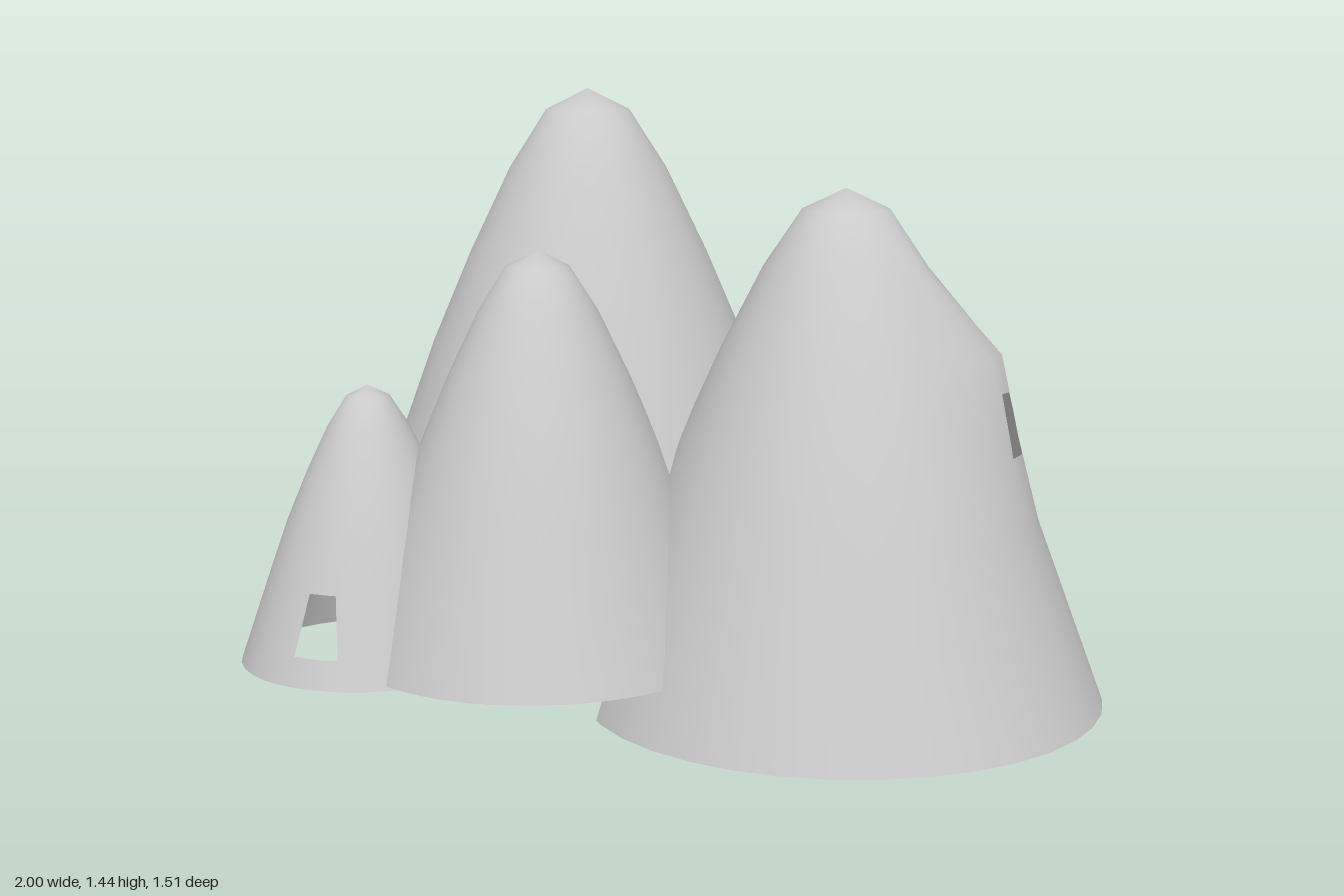
import * as THREE from 'three';
import { mergeVertices } from 'three/addons/utils/BufferGeometryUtils.js';

// Shared dome profile: [fraction of radius, fraction of height below the tip]
const PROFILE = [[1, 1], [0.87, 0.82], [0.74, 0.64], [0.62, 0.48], [0.47, 0.31], [0.31, 0.15], [0.165, 0.04], [0, 0]];

const DOMES = {
  tallDome: { x: -0.33, z: -0.13, r: 0.63, base: 0.135, top: 1.44 },
  wideDome: { x: 0.37, z: 0.06, r: 0.625, base: 0, top: 1.22, bulge: true },
  frontDome: { x: -0.31, z: 0.3, r: 0.455, base: 0.125, top: 1.08 },
  smallDome: { x: -0.69, z: 0.425, r: 0.31, base: 0.115, top: 0.765 },
};

// Tapered openings: dome, facing direction (x, z), half widths, bottom and top heights, sideways shift
const OPENINGS = [
  // windows
  ['wideDome', 1, 0, 0.065, 0.036, 0.61, 0.755, 0],
  ['smallDome', 0, 1, 0.055, 0.033, 0.18, 0.318, -0.015],
  // inner passages between the domes
  ['wideDome', -1, 0, 0.37, 0.22, -1, 0.5, 0],
  ['tallDome', 0.7, 0.19, 0.3, 0.2, -1, 0.5, 0],
  ['tallDome', 0.02, 0.43, 0.25, 0.18, -1, 0.5, 0],
  ['tallDome', -0.36, 0.555, 0.1, 0.06, -1, 0.33, 0],
  ['frontDome', -0.02, -0.43, 0.25, 0.18, -1, 0.5, 0],
  ['frontDome', 0.68, -0.24, 0.2, 0.12, -1, 0.42, 0],
  ['frontDome', -0.38, 0.125, 0.13, 0.08, -1, 0.3, 0],
  ['smallDome', 0.36, -0.555, 0.29, 0.15, -1, 0.33, 0],
  ['smallDome', 0.38, -0.125, 0.14, 0.08, -1, 0.3, 0],
];

// An opening as a list of functions, all positive inside it
function openingSides([name, dx, dz, w0, w1, y0, y1, shift]) {
  const len = Math.hypot(dx, dz), ax = dx / len, az = dz / len;
  const low = Math.max(y0, DOMES[name].base);
  const width = (y) => w0 + (w1 - w0) * (y - low) / (y1 - low);
  const side = (p) => p[0] * az - p[2] * ax - shift;
  return [
    (p) => p[0] * ax + p[2] * az,
    (p) => p[1] - y0,
    (p) => y1 - p[1],
    (p) => width(p[1]) - side(p),
    (p) => width(p[1]) + side(p),
  ];
}

// Part of a convex polygon where sign * f >= 0
function clip(poly, f, sign) {
  const out = [];
  poly.forEach((a, i) => {
    const b = poly[(i + 1) % poly.length];
    const fa = f(a) * sign, fb = f(b) * sign;
    if (fa >= 0) out.push(a);
    if (fa * fb < 0) out.push(a.map((v, k) => v + (b[k] - v) * fa / (fa - fb)));
  });
  return out.length > 2 ? out : null;
}

// Remove an opening from a list of polygons
function cut(polys, sides) {
  const kept = [];
  for (const poly of polys) {
    const outside = [];
    let rest = poly;
    for (const f of sides) {
      const piece = clip(rest, f, -1);
      if (piece) outside.push(piece);
      rest = clip(rest, f, 1);
      if (!rest) break;
    }
    if (rest) kept.push(...outside);
    else kept.push(poly);
  }
  return kept;
}

function domeGeometry(name) {
  const { r, base, top, bulge } = DOMES[name];
  const points = PROFILE.map(([pr, t]) => new THREE.Vector2(pr * r, top - t * (top - base)));
  let geo = new THREE.LatheGeometry(points, 36);

  // hood swelling out above the side window
  if (bulge) {
    const pos = geo.attributes.position;
    for (let i = 0; i < pos.count; i++) {
      const x = pos.getX(i), z = pos.getZ(i), rad = Math.hypot(x, z);
      const row = i % PROFILE.length;
      const push = row === 4 ? 0.078 : row === 3 ? 0.03 : 0;
      if (!push) continue;
      const angle = Math.atan2(z, x);
      const k = 1 + push * Math.exp(-((angle / 0.38) ** 2)) / rad;
      pos.setX(i, x * k);
      pos.setZ(i, z * k);
    }
  }

  // smooth normals across the seam
  geo.deleteAttribute('uv');
  geo.deleteAttribute('normal');
  geo = mergeVertices(geo, 1e-5);
  geo.computeVertexNormals();
  geo = geo.toNonIndexed();

  // triangles as [position, normal] corners, then cut the openings
  const p = geo.attributes.position, n = geo.attributes.normal;
  const corner = (i) => [p.getX(i), p.getY(i), p.getZ(i), n.getX(i), n.getY(i), n.getZ(i)];
  let polys = [];
  for (let i = 0; i < p.count; i += 3) polys.push([corner(i), corner(i + 1), corner(i + 2)]);
  for (const o of OPENINGS) if (o[0] === name) polys = cut(polys, openingSides(o));

  const positions = [], normals = [];
  for (const poly of polys) {
    for (let i = 1; i < poly.length - 1; i++) {
      for (const v of [poly[0], poly[i], poly[i + 1]]) {
        positions.push(v[0], v[1], v[2]);
        normals.push(v[3], v[4], v[5]);
      }
    }
  }
  const result = new THREE.BufferGeometry();
  result.setAttribute('position', new THREE.Float32BufferAttribute(positions, 3));
  result.setAttribute('normal', new THREE.Float32BufferAttribute(normals, 3));
  result.normalizeNormals();
  return result;
}

export function createModel() {
  const model = new THREE.Group();
  model.name = 'domeCluster';
  const material = new THREE.MeshStandardMaterial({ color: 0xcccccc, side: THREE.DoubleSide });
  for (const name of Object.keys(DOMES)) {
    const dome = new THREE.Mesh(domeGeometry(name), material);
    dome.name = name;
    dome.position.set(DOMES[name].x, 0, DOMES[name].z);
    model.add(dome);
  }
  return model;
}
